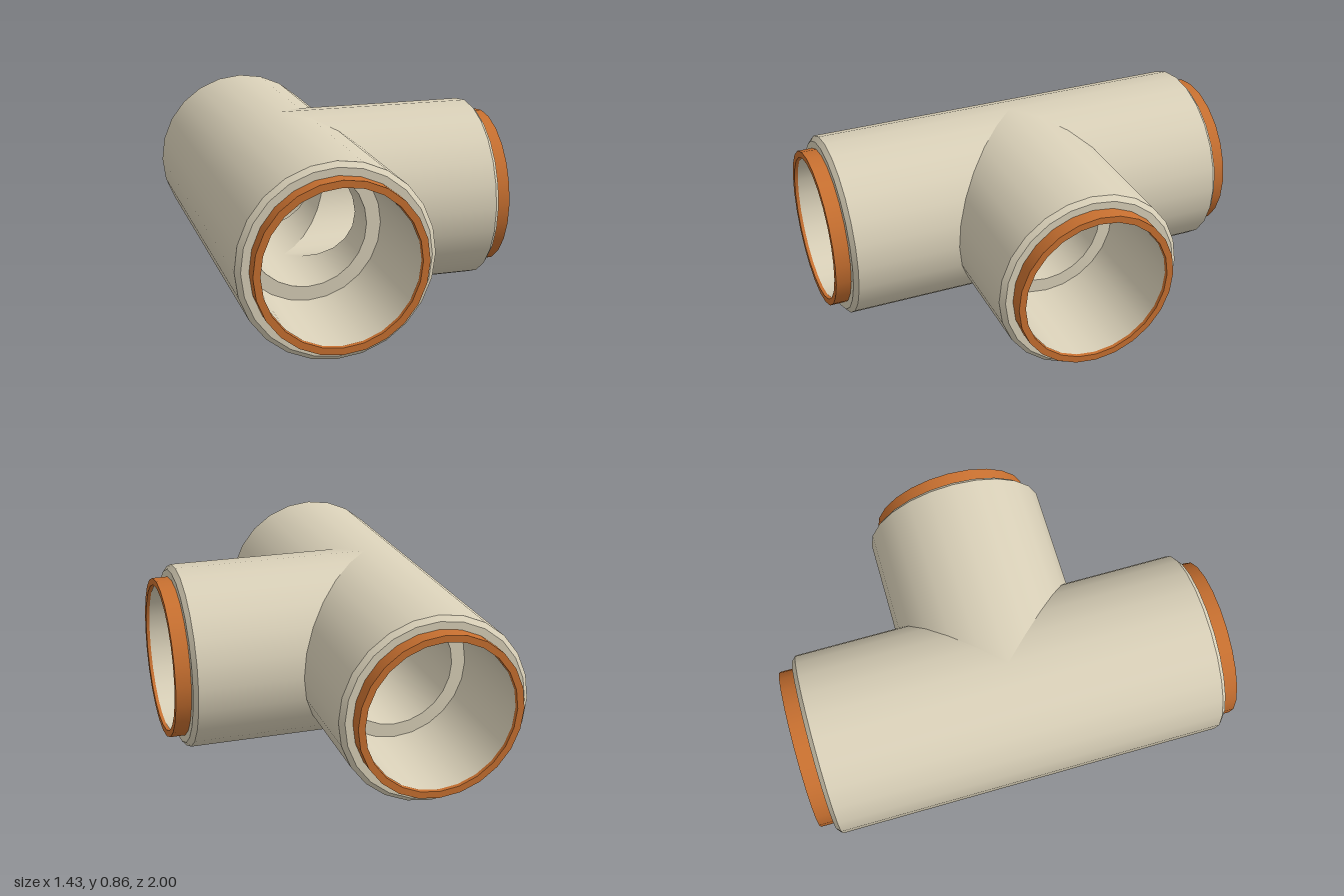
import * as THREE from 'three';
import { mergeGeometries } from 'three/addons/utils/BufferGeometryUtils.js';

const SIDES = 24;
const R = 0.428;        // outer radius of the fitting
const BORE = 0.273;     // radius of the inner passage
const SOCKET = 0.338;   // radius of the wider sockets
const STEP = 0.45;      // distance of the socket shoulder from the tee centre
const END = 0.93;       // distance of the fitting's end faces

// Turn a profile of [radius, distance] points around +z, with a sharp edge at every point.
// Points at distance 0 are moved onto the mitre given by the rule.
function turned(profile, mitre) {
  const bands = [];
  for (let i = 0; i < profile.length - 1; i++) {
    const pts = [profile[i], profile[i + 1]].map(([r, d]) => new THREE.Vector2(r, d));
    const band = new THREE.LatheGeometry(pts, SIDES);
    const p = band.attributes.position;
    for (let k = 0; mitre && k < p.count; k++) {
      if (p.getY(k) === 0) p.setY(k, mitre(p.getX(k)));
    }
    bands.push(band);
  }
  return mergeGeometries(bands).rotateX(Math.PI / 2);
}

export function createModel() {
  const model = new THREE.Group();
  const cream = new THREE.MeshStandardMaterial({ color: 0xd9d0b8 });
  const copper = new THREE.MeshStandardMaterial({ color: 0xc87030 });

  // outer wall, chamfer and end face
  const shell = [[R, 0], [R, END - 0.02], [R - 0.022, END], [0.36, END]];
  // socket wall, shoulder and inner passage
  const lining = [[SOCKET, 0.985], [SOCKET, STEP], [BORE, STEP], [BORE, 0]];
  // protruding collar
  const collar = [[0.372, END - 0.03], [0.372, 1], [0.341, 1], [0.341, END - 0.03]];

  // the three arms meet along 45 degree mitres
  const arms = [
    ['front', 0, (x) => Math.max(0, x)],
    ['back', Math.PI, (x) => Math.max(0, -x)],
    ['branch', Math.PI / 2, (x) => Math.abs(x)],
  ];
  for (const [name, turn, mitre] of arms) {
    const arm = new THREE.Group();
    arm.name = name + 'Arm';
    const add = (part, geometry, material) => {
      const mesh = new THREE.Mesh(geometry, material);
      mesh.name = name + part;
      arm.add(mesh);
    };
    add('Shell', turned(shell, mitre), cream);
    add('Lining', turned(lining, mitre), cream);
    add('Collar', turned(collar), copper);
    arm.rotation.y = turn;
    arm.position.set(-0.286, R, 0);
    model.add(arm);
  }
  model.name = 'pipeTee';
  return model;
}
